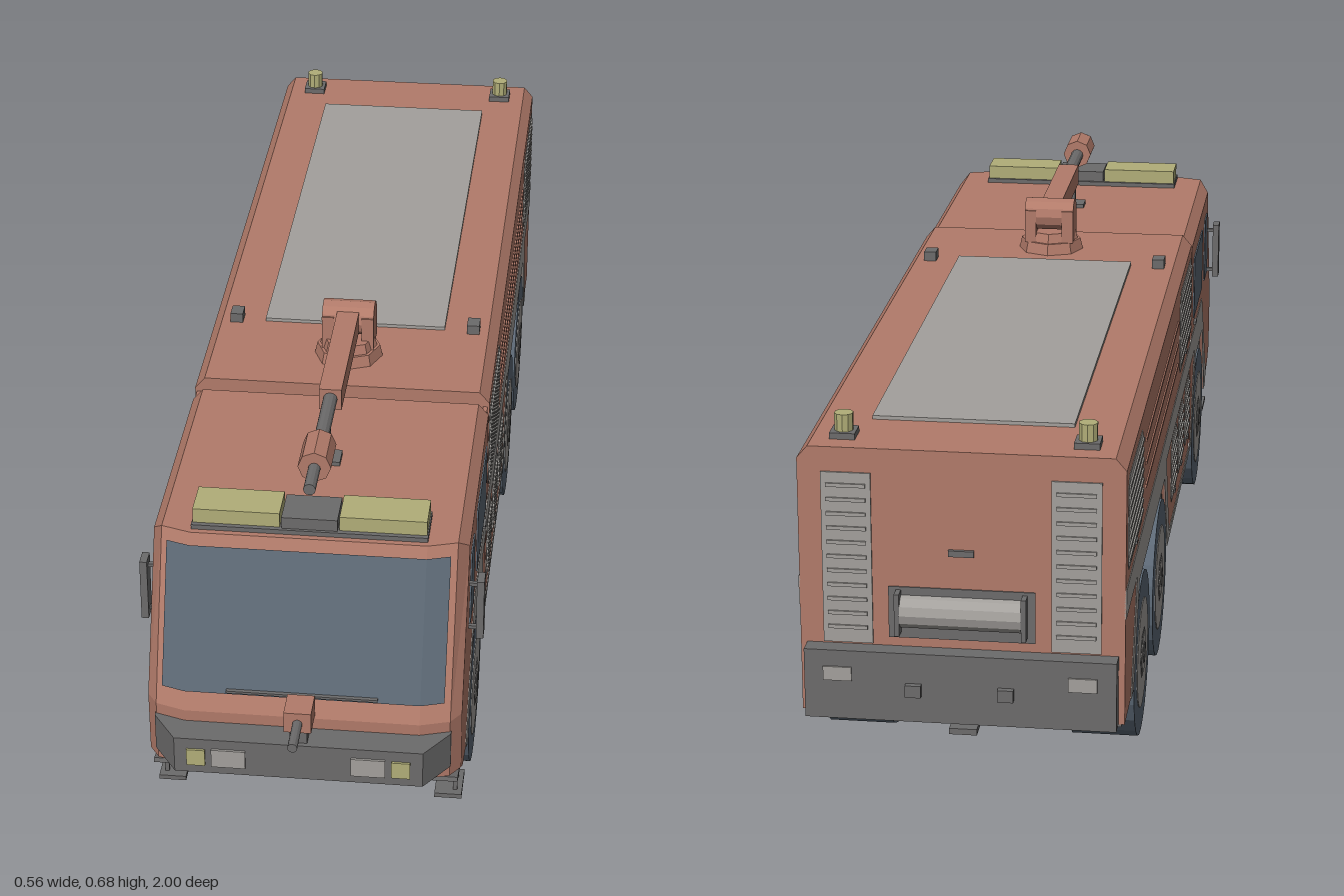
import * as THREE from 'three';

const mat = (name, color) => Object.assign(new THREE.MeshStandardMaterial({ color }), { name });

export function createModel() {
  const red = mat('red paint', 0xb27b6a), glass = mat('glass', 0x5c6874), tyreMat = mat('tyre', 0x5c6875);
  const light = mat('light grey', 0xa3a09c), grey = mat('grey', 0x6c6b6b), yellow = mat('yellow lamp', 0xb1ae78);
  glass.side = THREE.DoubleSide;
  const model = new THREE.Group();
  model.name = 'sixWheelFireTruck';

  const add = (name, geo, m, x = 0, y = 0, z = 0) => {
    const mesh = new THREE.Mesh(geo, m);
    mesh.name = name;
    mesh.position.set(x, y, z);
    model.add(mesh);
    return mesh;
  };
  // box given by its limits on each axis
  const box = (name, m, x0, x1, y0, y1, z0, z1) =>
    add(name, new THREE.BoxGeometry(Math.abs(x1 - x0), y1 - y0, Math.abs(z1 - z0)), m, (x0 + x1) / 2, (y0 + y1) / 2, (z0 + z1) / 2);
  // the same box on both sides
  const pair = (name, m, x0, x1, ...r) => [-1, 1].forEach(s => box(name, m, s * x0, s * x1, ...r));
  const shapeOf = pts => new THREE.Shape(pts.map(p => new THREE.Vector2(...p)));
  // outline in (z, y) extruded across x
  const across = (pts, x0, x1, steps = 1) => new THREE.ExtrudeGeometry(shapeOf(pts), { depth: x1 - x0, steps, bevelEnabled: false })
    .rotateY(-Math.PI / 2).translate(x1, 0, 0);
  const sidePlate = (name, m, pts, x1 = 0.2575) => {
    add(name, across(pts, 0.253, x1), m);
    add(name, across(pts, -x1, -0.253), m);
  };
  const rod = (name, m, r, len, axis, x, y, z, sides = 12, r2 = r) => {
    const g = new THREE.CylinderGeometry(r2, r, len, sides).toNonIndexed();
    if (axis === 'x') g.rotateZ(-Math.PI / 2);
    if (axis === 'z') g.rotateX(Math.PI / 2);
    g.computeVertexNormals();
    return add(name, g, m, x, y, z);
  };

  // Shells: side profile in slices, roof edges chamfered, front corners rounded off
  const slices = [-0.255, -0.238, -0.19, 0.19, 0.238, 0.255];
  const cornerBack = x => {
    const a = Math.abs(x);
    return a < 0.19 ? 0 : a < 0.238 ? (a - 0.19) / 0.048 * 0.015 : 0.015 + (a - 0.238) / 0.017 * 0.025;
  };
  const shell = (name, pts) => {
    const g = across(pts, -0.5, 0.5, 5), p = g.attributes.position;
    for (let i = 0; i < p.count; i++) {
      const x = slices[Math.round((p.getX(i) + 0.5) * 5)], y = p.getY(i), z = p.getZ(i);
      const edge = Math.abs(x) > 0.25 && y > 0.56;
      p.setXYZ(i, x, edge ? y - 0.02 : y, z > 0.71 ? z - cornerBack(x) : z);
    }
    g.computeVertexNormals();
    add(name, g, red);
  };
  const rearUnder = [[0.303, 0.14], [-0.19, 0.14], [-0.265, 0.295], [-0.735, 0.295], [-0.82, 0.14], [-0.955, 0.14]];
  const cabUnder = [[0.845, 0.166], [0.77, 0.15], [0.70, 0.14], [0.62, 0.295], [0.45, 0.295], [0.365, 0.14], [0.325, 0.14]];
  shell('rearBody', [...rearUnder, [-0.955, 0.58], [0.303, 0.58]]);
  shell('cab', [...cabUnder, [0.325, 0.57], [0.775, 0.57], [0.885, 0.3], [0.882, 0.19]]);
  // side walls closing the joint between cab and body
  pair('jointWall', red, 0.244, 0.252, 0.14, 0.553, 0.3, 0.328);

  // Underside and wheel arch linings
  for (const path of [rearUnder, cabUnder]) for (let i = 1; i < path.length; i++) {
    const [z0, y0] = path[i - 1], [z1, y1] = path[i];
    const plate = add('undersideLining', new THREE.BoxGeometry(0.5, 0.008, Math.hypot(z1 - z0, y1 - y0)), grey, 0, (y0 + y1) / 2, (z0 + z1) / 2);
    plate.rotation.x = -Math.atan2(y1 - y0, z1 - z0);
  }
  box('bellyPlate', grey, -0.23, 0.23, 0.124, 0.14, -0.18, 0.303);

  // Grey side stripes that trace the arches
  sidePlate('rearStripe', light, [[0.303, 0.365], [-0.955, 0.365], [-0.955, 0.318], [-0.775, 0.318], [-0.858, 0.14],
    [-0.82, 0.14], [-0.735, 0.295], [-0.265, 0.295], [-0.19, 0.14], [0.303, 0.14], [0.303, 0.153], [-0.155, 0.153], [-0.23, 0.318], [0.303, 0.318]], 0.2565);
  sidePlate('cabStripe', light, [[0.303, 0.365], [0.6, 0.365], [0.745, 0.165], [0.725, 0.144], [0.70, 0.14], [0.62, 0.295],
    [0.45, 0.295], [0.365, 0.14], [0.303, 0.14], [0.303, 0.153], [0.345, 0.153], [0.415, 0.318], [0.303, 0.318]], 0.2565);

  // Windscreen follows the sloping front
  const xs = [-0.228, -0.19, 0, 0.19, 0.228], wp = [], wi = [];
  xs.forEach((x, i) => {
    for (const y of [0.331, 0.552]) wp.push(x, y + 0.002, 0.885 - (y - 0.3) * 0.407 - cornerBack(x) + 0.006);
    if (i) wi.push(2 * i - 2, 2 * i, 2 * i + 1, 2 * i - 2, 2 * i + 1, 2 * i - 1);
  });
  let screen = new THREE.BufferGeometry();
  screen.setAttribute('position', new THREE.Float32BufferAttribute(wp, 3));
  screen.setIndex(wi);
  screen = screen.toNonIndexed();
  screen.computeVertexNormals();
  add('windscreen', screen, glass);
  box('wiper', grey, -0.122, 0.122, 0.337, 0.341, 0.874, 0.882);

  // Cab side windows, handles, mirrors and steps
  sidePlate('doorWindow', glass, [[0.37, 0.395], [0.575, 0.395], [0.575, 0.515], [0.37, 0.515]]);
  sidePlate('quarterWindow', glass, [[0.645, 0.39], [0.72, 0.39], [0.705, 0.515], [0.645, 0.515]]);
  pair('doorHandle', grey, 0.255, 0.26, 0.376, 0.381, 0.39, 0.415);
  pair('mirror', grey, 0.268, 0.28, 0.378, 0.487, 0.715, 0.745);
  for (const y of [0.39, 0.473]) pair('mirrorArm', grey, 0.25, 0.27, y - 0.003, y + 0.003, 0.725, 0.732);
  pair('stepTread', grey, 0.208, 0.253, 0.085, 0.093, 0.72, 0.79);
  for (const z of [0.735, 0.77]) pair('stepStrut', grey, 0.238, 0.245, 0.09, 0.17, z, z + 0.007);

  // Front bumper: upper band, and a lower part that tucks in
  const bumperOutline = [[-0.24, 0.80], [-0.24, 0.875], [-0.2, 0.933], [0.2, 0.933], [0.24, 0.875], [0.24, 0.80]];
  const bumperPart = (name, y, h, tuck) => {
    const g = new THREE.ExtrudeGeometry(shapeOf(bumperOutline), { depth: h, bevelEnabled: false }).rotateX(Math.PI / 2).translate(0, y, 0);
    const p = g.attributes.position;
    for (let i = 0; i < p.count; i++) if (p.getY(i) < y - h / 2 && tuck) {
      p.setX(i, p.getX(i) * 0.95);
      if (p.getZ(i) > 0.82) p.setZ(i, p.getZ(i) - tuck);
    }
    g.computeVertexNormals();
    add(name, g, grey);
  };
  bumperPart('frontBumper', 0.28, 0.065, 0);
  bumperPart('frontBumperLower', 0.215, 0.031, 0.045);
  pair('headlamp', light, 0.085, 0.14, 0.23, 0.263, 0.93, 0.937);
  pair('indicator', yellow, 0.15, 0.18, 0.231, 0.261, 0.93, 0.937);
  const skid = across([[0.84, 0.168], [0.72, 0.1], [0.66, 0.088], [0.45, 0.088], [0.45, 0.168]], -0.22, 0.22);
  const sp = skid.attributes.position;
  for (let i = 0; i < sp.count; i++) if (sp.getY(i) < 0.15) sp.setX(i, sp.getX(i) * 0.83);
  skid.computeVertexNormals();
  add('skidPlate', skid, grey);

  // Bumper nozzle
  box('nozzleStand', grey, -0.014, 0.014, 0.27, 0.312, 0.88, 0.925);
  box('nozzleBlock', red, -0.022, 0.022, 0.308, 0.345, 0.885, 0.936);
  rod('bumperNozzle', grey, 0.008, 0.07, 'z', 0, 0.325, 0.965);

  // Light bar, beacons and roof fittings
  box('lightBarBase', grey, -0.19, 0.19, 0.566, 0.578, 0.685, 0.765);
  box('lightBarCentre', grey, -0.045, 0.045, 0.57, 0.598, 0.69, 0.76);
  pair('lightBar', yellow, 0.048, 0.188, 0.577, 0.603, 0.69, 0.757);
  pair('beaconBase', grey, 0.17, 0.21, 0.578, 0.59, -0.92, -0.88);
  for (const s of [-1, 1]) rod('beacon', yellow, 0.015, 0.028, 'y', s * 0.19, 0.604, -0.9, 10);
  pair('roofBlock', grey, 0.2, 0.222, 0.575, 0.597, 0.07, 0.1);
  box('roofPanel', light, -0.16, 0.16, 0.578, 0.586, -0.82, 0.09);

  // Roof water cannon
  rod('cannonBase', red, 0.06, 0.022, 'y', 0, 0.589, 0.19, 8, 0.055);
  rod('cannonTurntable', red, 0.05, 0.018, 'y', 0, 0.608, 0.19, 8, 0.045);
  pair('cannonCheek', red, 0.024, 0.045, 0.6, 0.66, 0.15, 0.21);
  rod('cannonPivot', red, 0.03, 0.09, 'x', 0, 0.648, 0.18);
  box('cannonBoom', red, -0.019, 0.019, 0.63, 0.668, 0.18, 0.47);
  rod('cannonBarrel', grey, 0.012, 0.17, 'z', 0, 0.65, 0.545);
  rod('cannonHead', red, 0.027, 0.075, 'z', 0, 0.652, 0.653, 8);
  rod('cannonTip', grey, 0.01, 0.07, 'z', 0, 0.65, 0.72);
  box('cannonRest', grey, -0.007, 0.007, 0.565, 0.64, 0.523, 0.537);
  box('cannonRestFoot', grey, -0.025, 0.025, 0.565, 0.577, 0.51, 0.55);

  // Roller shutters with slats
  const shutter = (z0, z1, y0, y1, n) => {
    const c = 0.015;
    sidePlate('shutter', light, [[z0 + c, y0], [z1 - c, y0], [z1, y0 + c], [z1, y1 - c], [z1 - c, y1], [z0 + c, y1], [z0, y1 - c], [z0, y0 + c]], 0.2562);
    for (let i = 1; i < n; i++) {
      const y = y0 + (y1 - y0) * i / n;
      pair('shutterSlat', light, 0.255, 0.2585, y - 0.003, y + 0.003, z0 + 0.008, z1 - 0.008);
    }
    pair('shutterHandle', grey, 0.255, 0.2595, y0 + 0.004, y0 + 0.009, (z0 + z1) / 2 - 0.01, (z0 + z1) / 2 + 0.01);
  };
  shutter(0.045, 0.297, 0.385, 0.54, 9);
  shutter(-0.93, -0.69, 0.385, 0.54, 9);
  [[0.19, 0.297], [0.035, 0.152], [-0.115, 0.008]].forEach(([a, b]) => shutter(a, b, 0.19, 0.31, 7));
  for (const y of [0.42, 0.46, 0.5]) pair('bodyRib', red, 0.254, 0.2575, y - 0.003, y + 0.003, -0.64, 0.0);

  // Rear face: shutters, hose reel, bumper
  pair('rearShutter', light, 0.14, 0.218, 0.258, 0.54, -0.952, -0.958);
  for (let i = 1; i < 12; i++) pair('rearSlat', light, 0.148, 0.21, 0.258 + i * 0.0235, 0.264 + i * 0.0235, -0.956, -0.961);
  box('reelRecess', grey, -0.115, 0.115, 0.27, 0.355, -0.952, -0.957);
  rod('hoseReel', light, 0.028, 0.19, 'x', 0, 0.315, -0.952);
  pair('reelFlange', grey, 0.095, 0.103, 0.28, 0.35, -0.95, -0.978);
  box('rearLatch', grey, -0.02, 0.02, 0.41, 0.42, -0.953, -0.961);
  box('rearBumper', grey, -0.245, 0.245, 0.14, 0.255, -0.985, -0.945);
  pair('rearLamp', light, 0.17, 0.215, 0.205, 0.228, -0.984, -0.988);
  pair('towHook', grey, 0.06, 0.085, 0.185, 0.205, -0.98, -0.995);
  box('rearStep', grey, -0.022, 0.022, 0.108, 0.118, -0.955, -0.875);
  box('rearStepStrut', grey, -0.006, 0.006, 0.11, 0.15, -0.925, -0.91);

  // Chassis, suspension and drive line
  pair('chassisRail', grey, 0.06, 0.085, 0.125, 0.175, -0.84, 0.66);
  for (const z of [0.4, 0.64, -0.2, -0.5, -0.8]) box('crossMember', grey, -0.085, 0.085, 0.135, 0.165, z - 0.015, z + 0.015);
  pair('suspensionBlock', grey, 0.085, 0.13, 0.12, 0.22, -0.54, -0.47);
  pair('leafSpring', grey, 0.1, 0.125, 0.15, 0.168, -0.66, -0.34);
  pair('tank', grey, 0.13, 0.235, 0.1, 0.128, -0.15, -0.015);
  rod('driveShaft', grey, 0.014, 1.2, 'z', 0, 0.125, -0.065, 8);
  rod('exhaust', grey, 0.018, 0.4, 'z', -0.13, 0.12, 0.12, 8);

  // Axles and wheels, with rims set into the outer faces
  for (const z of [0.53, -0.335, -0.665]) {
    rod('axle', grey, 0.022, 0.34, 'x', 0, 0.138, z, 8);
    rod('differential', grey, 0.042, 0.08, 'z', 0, 0.138, z, 8);
    for (const s of [-1, 1]) {
      rod('tyre', tyreMat, 0.138, 0.107, 'x', s * 0.2015, 0.138, z, 24);
      rod('rim', light, 0.092, 0.05, 'x', s * 0.2315, 0.138, z, 20);
      rod('hubRing', grey, 0.042, 0.05, 'x', s * 0.2325, 0.138, z, 6);
      rod('hubFace', light, 0.037, 0.05, 'x', s * 0.2335, 0.138, z, 6);
      rod('hubCap', grey, 0.018, 0.05, 'x', s * 0.2345, 0.138, z, 6);
      rod('innerHub', grey, 0.05, 0.03, 'x', s * 0.143, 0.138, z, 8);
    }
  }
  return model;
}
